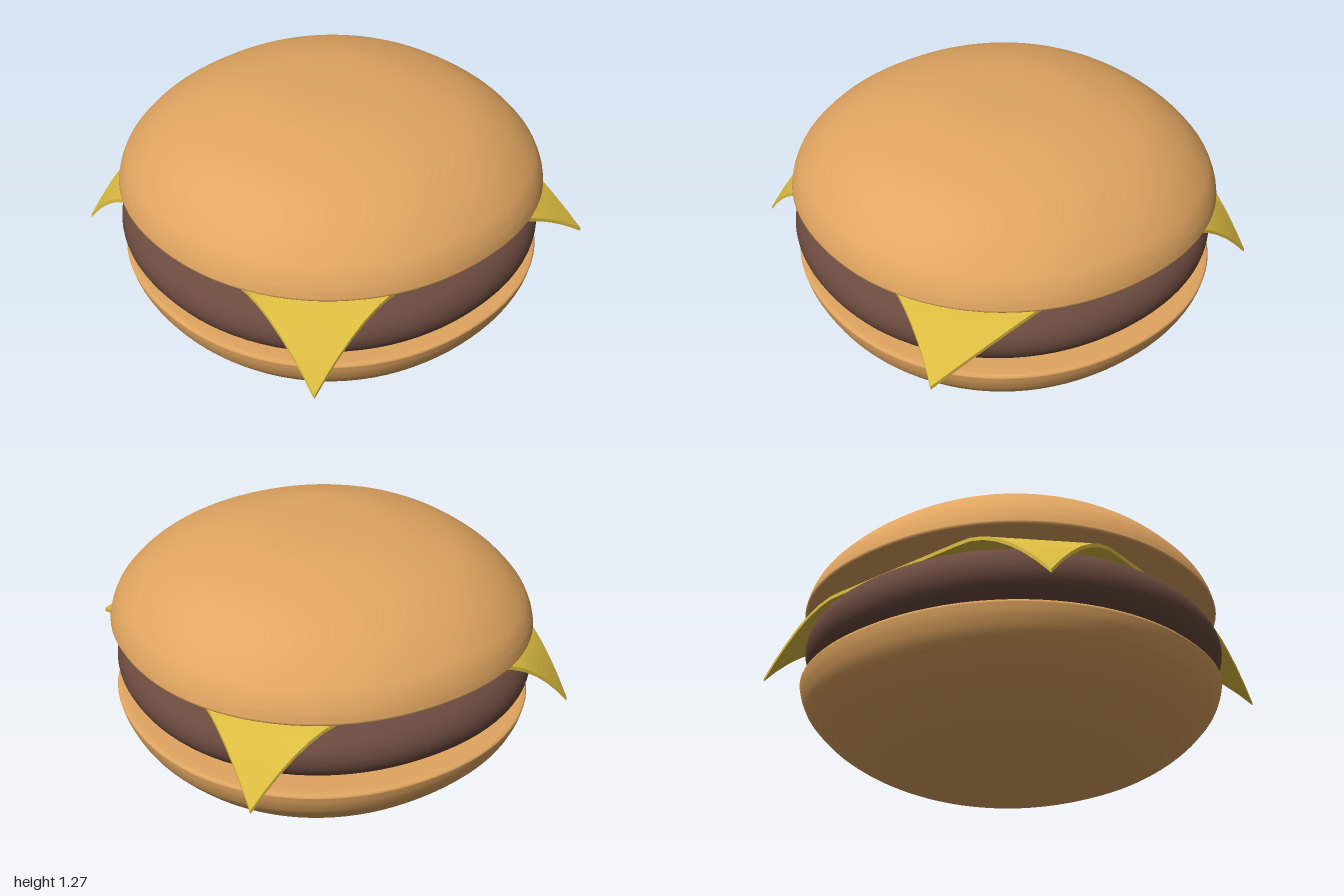
import * as THREE from 'three';
import { mergeVertices } from 'three/addons/utils/BufferGeometryUtils.js';

const BUN = new THREE.MeshStandardMaterial({ color: 0xe0a560 });
const MEAT = new THREE.MeshStandardMaterial({ color: 0x6b4a3e });
const CHEESE = new THREE.MeshStandardMaterial({ color: 0xdcbc40 });

// Smooth turned body whose plan is a slightly squared circle; profile runs bottom to top
function roundBody(name, profile, material) {
  const pts = profile.map(([r, y]) => new THREE.Vector2(r, y));
  let geo = new THREE.LatheGeometry(pts, 96);
  const p = geo.attributes.position;
  for (let i = 0; i < p.count; i++) {
    const x = p.getX(i), z = p.getZ(i), r = Math.hypot(x, z);
    if (r < 1e-6) continue;
    const k = (Math.abs(x / r) ** 2.12 + Math.abs(z / r) ** 2.12) ** (-1 / 2.12);
    p.setX(i, x * k);
    p.setZ(i, z * k);
  }
  geo.deleteAttribute('uv');
  geo.deleteAttribute('normal');
  geo = mergeVertices(geo, 1e-5);
  geo.computeVertexNormals();
  const mesh = new THREE.Mesh(geo, material);
  mesh.name = name;
  return mesh;
}

// Dome from rim (y = 0) up to the crown, sampled from a smooth curve
function domeProfile() {
  const curve = new THREE.SplineCurve([
    [0.988, 0.01], [0.972, 0.07], [0.93, 0.145], [0.82, 0.255], [0.65, 0.355],
    [0.4, 0.43], [0.2, 0.454], [0, 0.458],
  ].map(([x, y]) => new THREE.Vector2(x, y)));
  const dome = curve.getPoints(40).map(v => [Math.max(v.x, 0), v.y]);
  dome[dome.length - 1][0] = 0;
  return [[0, 0], [0.5, 0], [0.93, 0], [0.965, 0], [0.982, 0.003], ...dome];
}

// Patty side: flat faces with a fully rounded edge
function pattyProfile() {
  const pts = [[0, -0.155], [0.4, -0.155], [0.7, -0.152]];
  for (let i = 0; i <= 24; i++) {
    const a = -Math.PI / 2 + (i / 24) * Math.PI;
    pts.push([0.76 + 0.225 * Math.cos(a) ** 0.85, 0.148 * Math.sin(a)]);
  }
  pts[3][0] = pts[pts.length - 1][0] = 0.76;
  return [...pts, [0.7, 0.152], [0.4, 0.155], [0, 0.155]];
}

// Square slice whose corners droop; the front left one is flared outward
function cheeseSlice() {
  const half = 0.84;
  const geo = new THREE.BoxGeometry(2 * half, 0.018, 2 * half, 24, 1, 24);
  const p = geo.attributes.position;
  for (let i = 0; i < p.count; i++) {
    const x = p.getX(i), z = p.getZ(i);
    const flared = x > 0 && z > 0;
    const start = flared ? 1.14 : 1.23;
    const t = Math.max(0, (Math.abs(x) + Math.abs(z) - start) / (2 * half - start));
    p.setY(i, p.getY(i) - (flared ? 0.21 * t ** 1.5 : 0.3 * t ** 1.75));
    if (flared) {
      p.setX(i, x - 0.06 * t ** 1.8);
      p.setZ(i, z + 0.1 * t ** 1.5);
    }
  }
  geo.computeVertexNormals();
  const mesh = new THREE.Mesh(geo, CHEESE);
  mesh.name = 'cheeseSlice';
  mesh.position.set(-0.01, 0.777, 0);
  return mesh;
}

export function createModel() {
  const group = new THREE.Group();
  group.name = 'burger';
  const dome = domeProfile();

  // Buns: the lower one is the same dome turned upside down
  const topBun = roundBody('topBun', dome, BUN);
  topBun.position.set(0.006, 0.815, 0);
  topBun.rotation.set(-0.013, 0, -0.004);

  const bottomBun = roundBody('bottomBun', dome.map(([r, y]) => [r, -y]).reverse(), BUN);
  bottomBun.position.set(0.005, 0.461, 0);
  bottomBun.rotation.set(-0.01, 0, -0.005);

  const patty = roundBody('patty', pattyProfile(), MEAT);
  patty.position.set(-0.008, 0.612, 0.003);

  group.add(bottomBun, patty, cheeseSlice(), topBun);
  return group;
}
